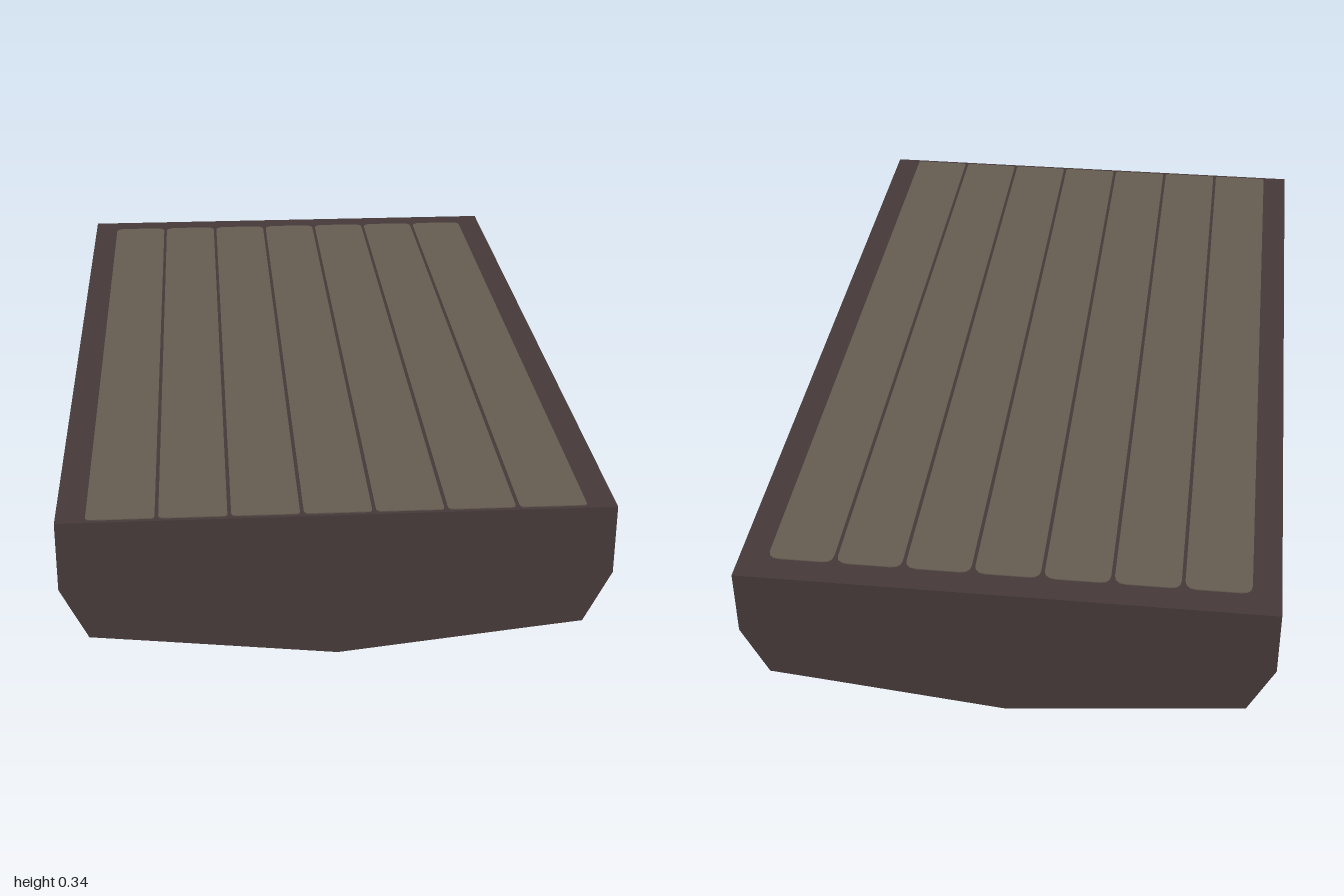
import * as THREE from 'three';

const bodyMat = new THREE.MeshStandardMaterial({ name: 'dark brown', color: 0x463a39 });
bodyMat.flatShading = true;
const slatMat = new THREE.MeshStandardMaterial({ name: 'taupe', color: 0x665d52 });
slatMat.flatShading = true;

// Cross-section at one station; dents lift the lower edge on each side
function section(z, liftLeft, liftRight) {
  const edge = (s, lift) => [s * (0.54 + lift / 2), 0.06 + lift];
  return [
    [0.6, 0.34], [0.6, 0.18], edge(1, liftLeft), [0.42, 0.047], [0, 0],
    [-0.42, 0.047], edge(-1, liftRight), [-0.6, 0.18], [-0.6, 0.34],
  ].map(([x, y]) => [x, y, z]);
}

// Solid hull lofted from front-to-back sections, with end caps
function hullGeometry() {
  const rings = [
    section(-1, 0, 0), section(-0.58, 0, 0), section(0, 0.025, 0), section(0.36, 0, 0),
    section(0.51, 0, 0), section(0.8, 0, 0.025), section(1, 0, 0),
  ];
  const pos = [];
  const tri = (a, b, c) => pos.push(...a, ...b, ...c);
  const n = rings[0].length;
  for (let i = 0; i < rings.length - 1; i++) {
    for (let j = 0; j < n; j++) {
      const k = (j + 1) % n;
      const a = rings[i][j], b = rings[i][k], c = rings[i + 1][k], d = rings[i + 1][j];
      tri(a, d, c);
      tri(a, c, b);
    }
  }
  const back = rings[0], front = rings[rings.length - 1];
  for (let j = 1; j < n - 1; j++) {
    tri(back[0], back[j], back[j + 1]);
    tri(front[0], front[j + 1], front[j]);
  }
  const g = new THREE.BufferGeometry();
  g.setAttribute('position', new THREE.Float32BufferAttribute(pos, 3));
  g.computeVertexNormals();
  return g;
}

// Thin plank with rounded corners, larger at the back end
function slatGeometry(width) {
  const w = width / 2, f = -0.99, b = 0.935, rf = 0.01, rb = 0.025;
  const s = new THREE.Shape();
  s.moveTo(-w + rf, f);
  s.lineTo(w - rf, f);
  s.quadraticCurveTo(w, f, w, f + rf);
  s.lineTo(w, b - rb);
  s.quadraticCurveTo(w, b, w - rb, b);
  s.lineTo(-w + rb, b);
  s.quadraticCurveTo(-w, b, -w, b - rb);
  s.lineTo(-w, f + rf);
  s.quadraticCurveTo(-w, f, -w + rf, f);
  const g = new THREE.ExtrudeGeometry(s, { depth: 0.006, bevelEnabled: false, curveSegments: 3 });
  return g.rotateX(-Math.PI / 2);
}

export function createModel() {
  const model = new THREE.Group();
  model.name = 'slattedPlatform';

  const hull = new THREE.Mesh(hullGeometry(), bodyMat);
  hull.name = 'hull';
  model.add(hull);

  // Seven planks side by side on the deck
  const count = 7, pitch = 1.08 / count;
  const plank = slatGeometry(pitch - 0.008);
  const deck = new THREE.Group();
  deck.name = 'deckSlats';
  for (let i = 0; i < count; i++) {
    const slat = new THREE.Mesh(plank, slatMat);
    slat.name = 'slat' + (i + 1);
    slat.position.set((i - (count - 1) / 2) * pitch, 0.336, 0);
    deck.add(slat);
  }
  model.add(deck);
  return model;
}
